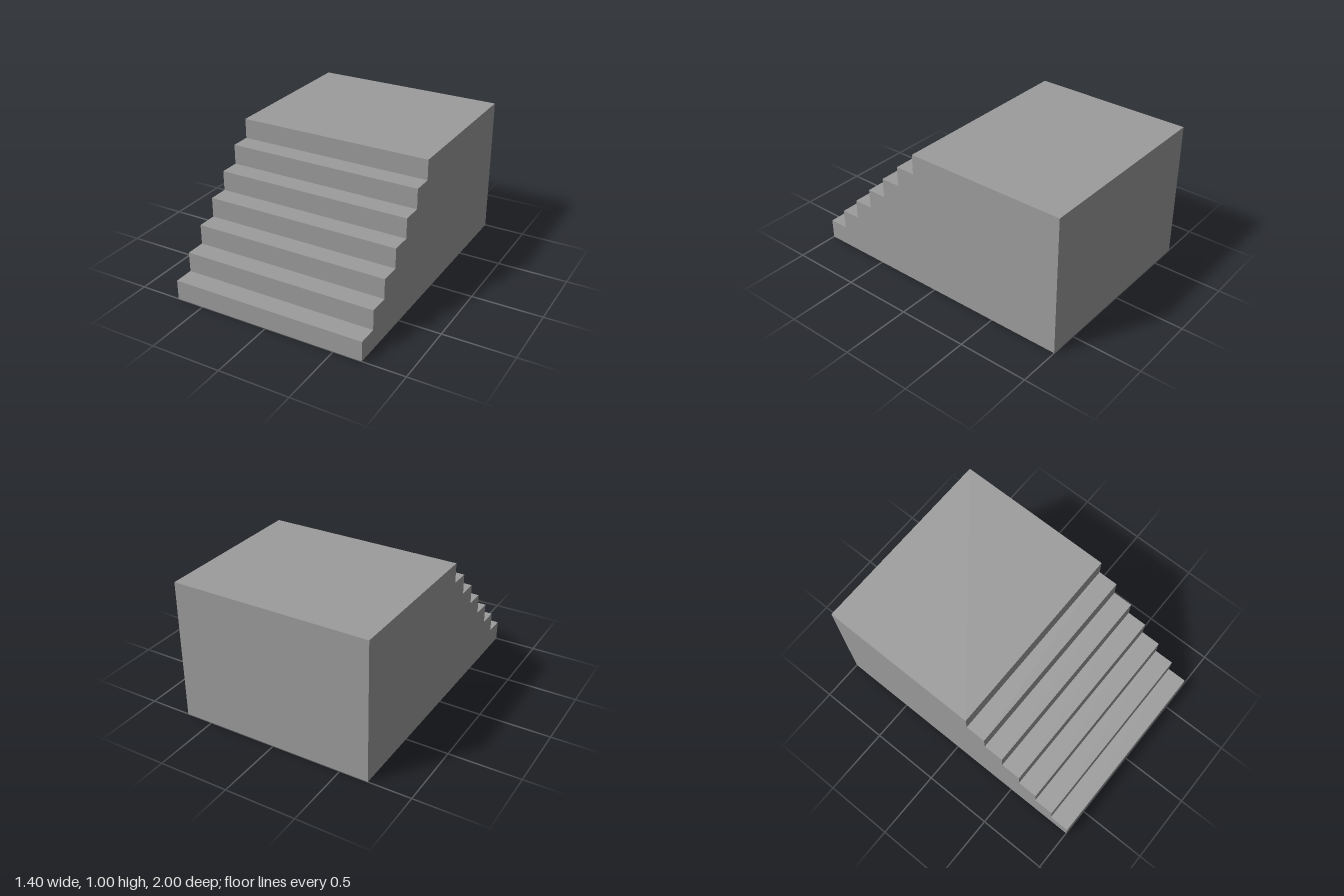
import * as THREE from 'three';

const WIDTH = 1.4, HEIGHT = 1, FRONT = 1, BACK = -1, STEPS = 7;
const RISE = HEIGHT / STEPS, TREAD = 1 / 7;

// Side profile: shape x runs along z, shape y is height
function stairProfile() {
  const shape = new THREE.Shape();
  shape.moveTo(BACK, 0);
  shape.lineTo(FRONT, 0);
  for (let i = 0; i < STEPS; i++) {
    const z = FRONT - i * TREAD;
    const y = (i + 1) * RISE;
    shape.lineTo(z, y); // riser
    shape.lineTo(i < STEPS - 1 ? z - TREAD : BACK, y); // tread, or the top landing
  }
  shape.closePath();
  return shape;
}

export function createModel() {
  const group = new THREE.Group();
  group.name = 'staircase';

  // Solid flight of steps with its landing block
  const geometry = new THREE.ExtrudeGeometry(stairProfile(), { depth: WIDTH, bevelEnabled: false });
  geometry.rotateY(-Math.PI / 2);
  geometry.translate(WIDTH / 2, 0, 0);

  const material = new THREE.MeshStandardMaterial({ color: 0x9c9c9c, flatShading: true });
  const stairs = new THREE.Mesh(geometry, material);
  stairs.name = 'stepsAndLanding';
  group.add(stairs);
  return group;
}
